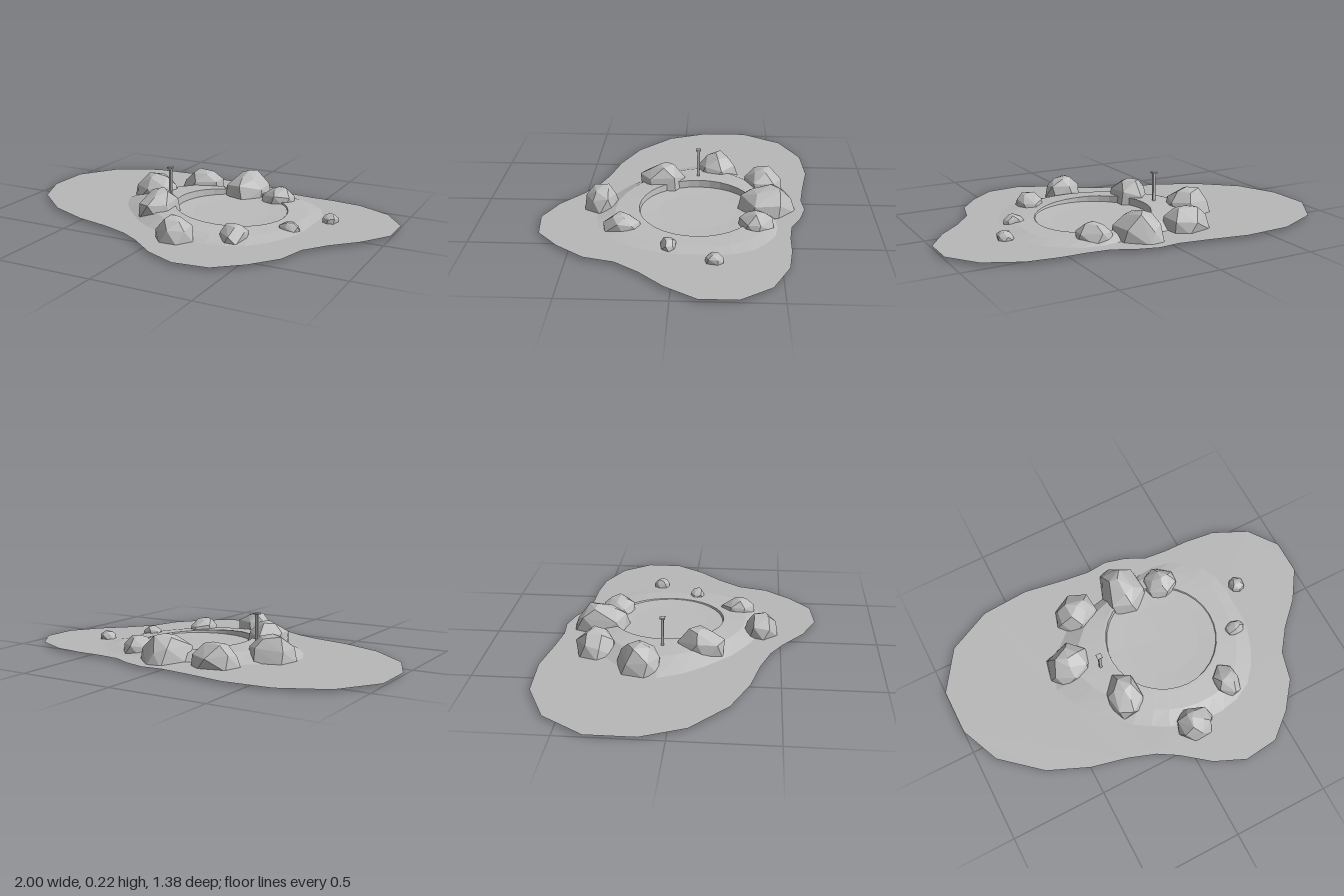
import * as THREE from 'three';
import { ConvexGeometry } from 'three/addons/geometries/ConvexGeometry.js';

const stone = new THREE.MeshStandardMaterial({ color: 0xbcbcbc });
stone.name = 'stone grey';
const earth = new THREE.MeshStandardMaterial({ color: 0xb8b8b8, side: THREE.DoubleSide });
earth.name = 'earth grey';

const CX = 0.15, CZ = -0.1; // centre of the basin
const BASE = 0.012;         // level of the flat ground

function seeded(seed) {
  let s = seed * 7919 + 17;
  return () => ((s = (s * 16807) % 2147483647) / 2147483647);
}

function add(group, name, geometry, material) {
  const mesh = new THREE.Mesh(geometry, material);
  mesh.name = name;
  group.add(mesh);
  return mesh;
}

// Wavy flat sheet of land
function groundGeometry() {
  const outline = [
    [-1, -.36], [-.86, -.57], [-.63, -.68], [-.38, -.695], [-.17, -.66], [-.02, -.64],
    [.09, -.65], [.2, -.62], [.3, -.57], [.42, -.557], [.55, -.555], [.71, -.535],
    [.89, -.45], [1, -.3], [1, -.12], [.9, .03], [.78, .15], [.69, .27], [.65, .42],
    [.54, .56], [.41, .67], [.23, .69], [.07, .62], [-.07, .51], [-.17, .45],
    [-.31, .4], [-.5, .355], [-.71, .265], [-.91, .09], [-1, -.12],
  ];
  const shape = new THREE.Shape(outline.map(([x, z]) => new THREE.Vector2(x, -z)));
  return new THREE.ShapeGeometry(shape).rotateX(-Math.PI / 2).translate(0, BASE, 0);
}

// Mound with a sunken round basin, lofted from the outer edge to the middle
function moundGeometry() {
  const N = 32;
  // outer radius for each eighth of a turn, starting at +x and turning to +z
  const radii = [.46, .49, .54, .51, .49, .52, .63, .53, .40, .37, .46, .5];
  const radiusAt = (a) => {
    const f = (a / (2 * Math.PI)) * radii.length, i = Math.floor(f);
    return THREE.MathUtils.lerp(radii[i % radii.length], radii[(i + 1) % radii.length], f - i);
  };
  // the rim is tall on the -x side and low on the +x side
  const rim = (x) => THREE.MathUtils.mapLinear(x, -0.15, 0.45, 0.063, 0.028);
  const rings = [
    (R) => [R, () => 0.01],
    (R) => [0.3 + (R - 0.3) * 0.55, (x) => Math.max(0.024, rim(x) * 0.85)],
    () => [0.31, rim],
    () => [0.297, rim],
    () => [0.293, () => 0.025],
    () => [0.2, () => 0.021],
    () => [0.001, () => 0.019],
  ];
  const pos = [], index = [];
  rings.forEach((ring, k) => {
    for (let j = 0; j < N; j++) {
      const a = (j / N) * Math.PI * 2;
      const [r, height] = ring(radiusAt(a));
      const x = CX + r * Math.cos(a);
      pos.push(x, height(Math.max(x, -0.2)), CZ + r * Math.sin(a));
      if (k === 0) continue;
      const n = (j + 1) % N, o = (k - 1) * N, i = k * N;
      index.push(o + j, i + j, o + n, o + n, i + j, i + n);
    }
  });
  const g = new THREE.BufferGeometry();
  g.setAttribute('position', new THREE.Float32BufferAttribute(pos, 3));
  g.setIndex(index);
  const flat = g.toNonIndexed();
  flat.computeVertexNormals();
  return flat;
}

// Faceted boulder: wide foot, shoulder and narrow peak, joined as a hull
function boulderGeometry(rx, rz, bottom, top, seed) {
  const rnd = seeded(seed), points = [];
  const layer = (count, scale, level, turn) => {
    for (let i = 0; i < count; i++) {
      const a = turn + ((i + rnd() * 0.45) / count) * Math.PI * 2;
      const s = scale * (0.92 + rnd() * 0.14);
      const y = bottom + (top - bottom) * (level + (level ? (rnd() - 0.5) * 0.2 : 0));
      points.push(new THREE.Vector3(Math.cos(a) * rx * s, y, Math.sin(a) * rz * s));
    }
  };
  layer(7, 1.02, 0, seed);
  layer(6, 0.9, 0.52, seed + 0.5);
  layer(4, 0.5, 0.87, seed + 0.2);
  points.push(new THREE.Vector3((rnd() - 0.5) * rx * 0.3, top, (rnd() - 0.5) * rz * 0.3));
  return new ConvexGeometry(points);
}

export function createModel() {
  const model = new THREE.Group();
  model.name = 'rockRingedPond';

  add(model, 'ground', groundGeometry(), earth);
  add(model, 'basinMound', moundGeometry(), stone);

  // Boulders around the basin: x, z, half width, half depth, bottom, top
  const boulders = [
    [-0.355, -0.2, .125, .115, .008, .14],
    [-0.19, -0.44, .12, .11, .005, .125],
    [0.09, -0.45, .125, .15, 0, .145],
    [0.295, -0.39, .095, .09, .005, .1],
    [0.665, -0.19, .045, .045, .014, .055],
    [0.53, 0.03, .058, .042, .014, .06],
    [0.34, 0.27, .072, .095, .01, .09],
    [0.08, 0.4, .1, .09, .008, .125],
    [-0.175, 0.1, .1, .13, .008, .145],
  ];
  boulders.forEach(([x, z, rx, rz, bottom, top], i) => {
    add(model, 'boulder' + (i + 1), boulderGeometry(rx, rz, bottom, top, i + 1), stone)
      .position.set(x, 0, z);
  });

  // Slim square post with a flat cap
  const post = new THREE.Group();
  post.name = 'post';
  post.position.set(-0.215, 0, -0.095);
  add(post, 'postShaft', new THREE.BoxGeometry(0.014, 0.17, 0.014), stone).position.y = 0.125;
  add(post, 'postCap', new THREE.BoxGeometry(0.027, 0.008, 0.027), stone).position.y = 0.212;
  model.add(post);

  return model;
}
